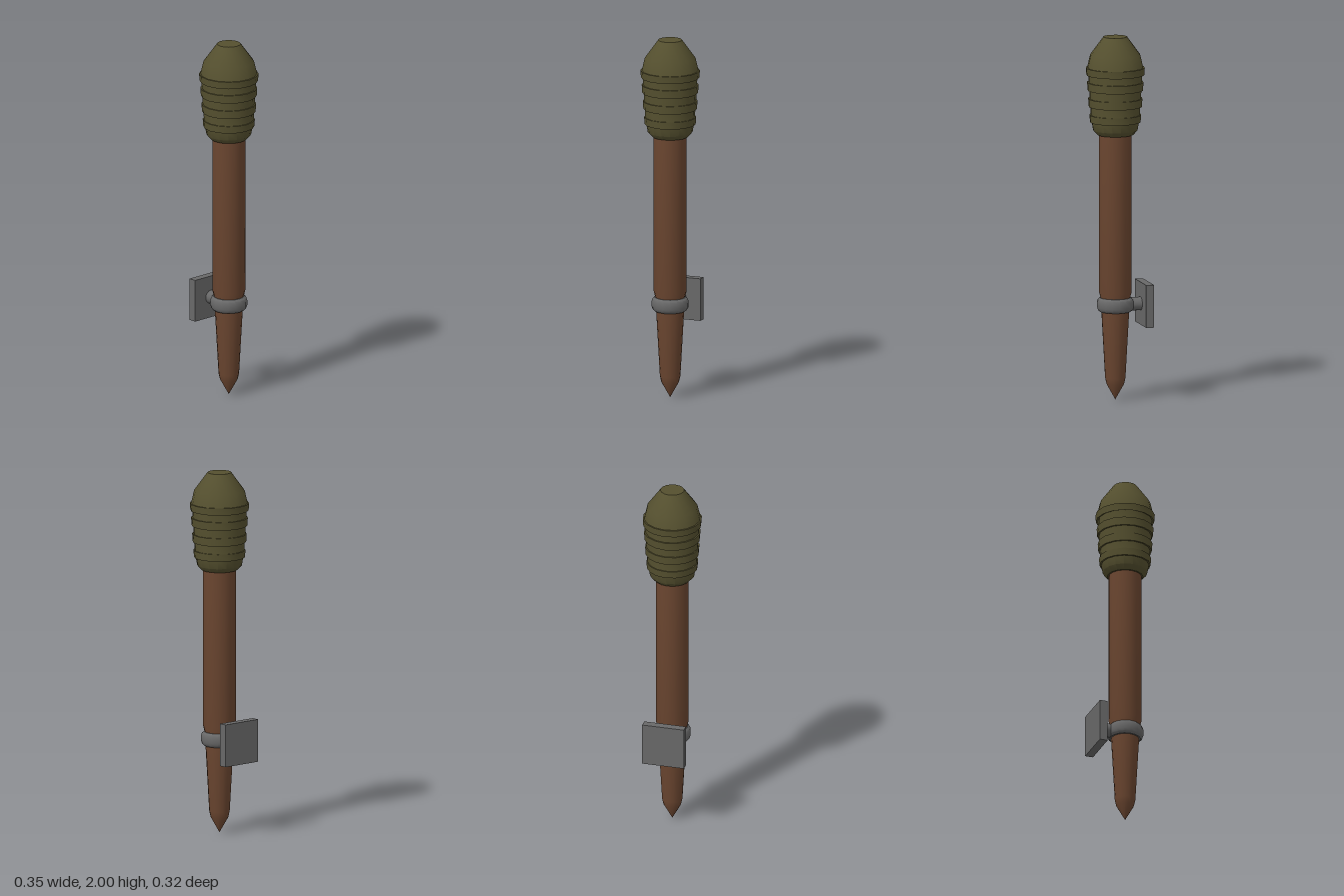
import * as THREE from 'three';
import { toCreasedNormals } from 'three/addons/utils/BufferGeometryUtils.js';

const SIDES = 16;
const AXIS_X = 0.0125; // the torch stands slightly off centre, the wall plate balances it

const wood = new THREE.MeshStandardMaterial({ color: 0x6b4630 });
const wrap = new THREE.MeshStandardMaterial({ color: 0x55502f });
const iron = new THREE.MeshStandardMaterial({ color: 0x686868 });

// Turned part from [radius, height] pairs, listed bottom to top on the outside
function turned(name, profile, material) {
  const points = profile.map(([r, y]) => new THREE.Vector2(r, y));
  const geometry = toCreasedNormals(new THREE.LatheGeometry(points, SIDES), 0.6);
  const mesh = new THREE.Mesh(geometry, material);
  mesh.name = name;
  mesh.position.x = AXIS_X;
  return mesh;
}

export function createModel() {
  const torch = new THREE.Group();
  torch.name = 'wallTorch';

  // Tapered wooden handle with a pointed foot
  torch.add(turned('handle', [
    [0, 0], [0.048, 0.085], [0.056, 0.12], [0.076, 0.48],
    [0.081, 0.56], [0.09, 0.595], [0.09, 1.48],
  ], wood));

  // Wrapped head: rounded base, four raised bands, domed top
  const head = [[0, 1.46], [0.098, 1.46], [0.122, 1.485], [0.13, 1.53]];
  const bands = [
    // bottom, top, radius, radius of the groove above
    [1.53, 1.57, 0.141, 0.136],
    [1.615, 1.66, 0.148, 0.142],
    [1.705, 1.75, 0.154, 0.147],
    [1.79, 1.83, 0.161, 0.154],
  ];
  for (const [bottom, top, radius, groove] of bands) {
    head.push([radius - 0.002, bottom], [radius + 0.001, top], [groove, top]);
    if (top < 1.8) head.push([groove + 0.001, top + 0.045]);
  }
  head.push([0.138, 1.9], [0.065, 2], [0, 2]);
  torch.add(turned('head', head, wrap));

  // Iron ring around the handle, with rounded edges
  torch.add(turned('ring', [
    [0.07, 0.485], [0.085, 0.485], [0.096, 0.495], [0.101, 0.51],
    [0.101, 0.537], [0.096, 0.552], [0.085, 0.562], [0.07, 0.562],
  ], iron));

  // Short arm from the ring to the wall
  const arm = new THREE.Mesh(new THREE.CylinderGeometry(0.037, 0.037, 0.075, SIDES), iron);
  arm.name = 'arm';
  arm.rotation.z = Math.PI / 2;
  arm.position.set(-0.1, 0.523, 0);
  torch.add(arm);

  // Square wall plate
  const plate = new THREE.Mesh(new THREE.BoxGeometry(0.045, 0.235, 0.235), iron);
  plate.name = 'wallPlate';
  plate.position.set(-0.153, 0.523, -0.001);
  torch.add(plate);

  return torch;
}
